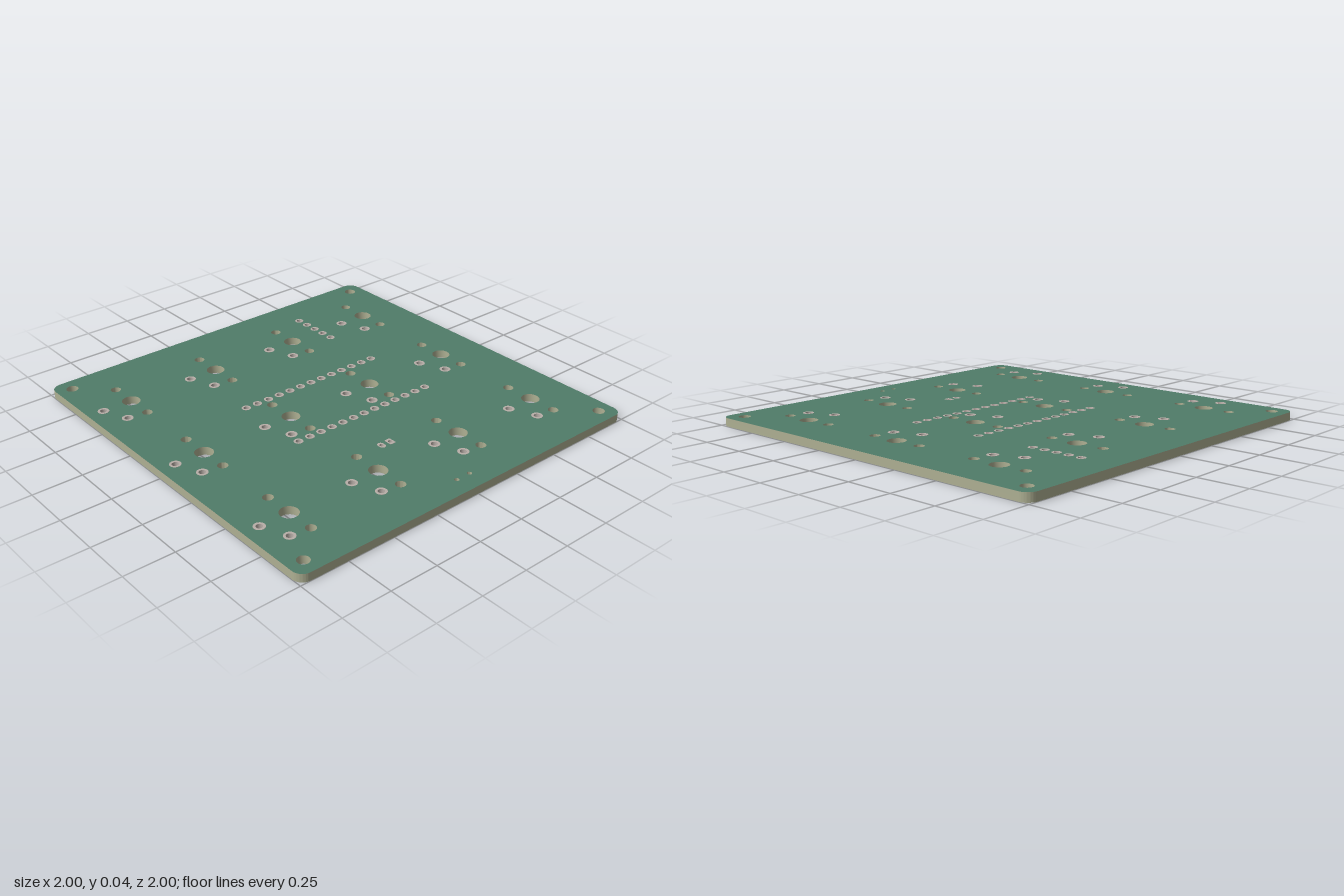
import * as THREE from 'three';
import { mergeGeometries, toCreasedNormals } from 'three/addons/utils/BufferGeometryUtils.js';

const H = 0.043;      // overall thickness
const E = 0.0006;     // pad height above the board surface
const SEG = 8;        // curve segments per quarter turn

// Rounded rectangle centred on (x, z)
function roundedRect(x, z, w, d, r) {
  const s = new THREE.Shape();
  const a = w / 2 - r, b = d / 2 - r;
  s.absarc(x + a, z + b, r, 0, Math.PI / 2, false);
  s.absarc(x - a, z + b, r, Math.PI / 2, Math.PI, false);
  s.absarc(x - a, z - b, r, Math.PI, Math.PI * 1.5, false);
  s.absarc(x + a, z - b, r, Math.PI * 1.5, Math.PI * 2, false);
  s.closePath();
  return s;
}

function circleHole(x, z, r) {
  const p = new THREE.Path();
  p.absarc(x, z, r, 0, Math.PI * 2, true);
  return p;
}

// Lay a shape flat (shape y becomes z), its top face at the given height
function slab(shape, top, depth, curveSegments = SEG) {
  const g = new THREE.ExtrudeGeometry(shape, { depth, bevelEnabled: false, curveSegments });
  g.rotateX(Math.PI / 2).translate(0, top, 0);
  return toCreasedNormals(g, 0.6);
}

export function createModel() {
  const group = new THREE.Group();
  group.name = 'circuitBoard';

  const mask = new THREE.MeshStandardMaterial({ color: 0x507c69 });
  const core = new THREE.MeshStandardMaterial({ color: 0xaeb093 });
  const metal = new THREE.MeshStandardMaterial({ color: 0xb8aea8 });
  const metalThin = new THREE.MeshStandardMaterial({ color: 0xb8aea8, side: THREE.DoubleSide });

  const bare = [];    // unplated holes: x, z, r
  const plated = [];  // plated holes: x, z, hole radius, pad width, pad depth, corner radius
  const round = (x, z, hole, r) => plated.push([x, z, hole, 2 * r, 2 * r, r * 0.999]);

  // Corner mounting holes
  for (const x of [-0.92, 0.92]) for (const z of [-0.92, 0.92]) bare.push([x, z, 0.03]);

  // Key switch footprints, four columns by three rows
  for (let c = 0; c < 4; c++) {
    for (let r = 0; r < 3; r++) {
      const x = (c - 1.5) * 0.506, z = (r - 1) * 0.625;
      bare.push([x, z, 0.0455], [x, z - 0.146, 0.0255], [x, z + 0.146, 0.0255]);
      round(x - 0.157, z, 0.0165, 0.028);
      round(x - 0.102, z + 0.133, 0.0165, 0.028);
    }
  }

  // Controller pin rows and the five-pin display header
  for (let i = 0; i < 13; i++) {
    for (const z of [-0.203, 0.203]) round(-0.369 + i * 0.0677, z, 0.0135, 0.0228);
  }
  for (let i = 0; i < 5; i++) round(0.443, -0.802 + i * 0.0677, 0.0135, 0.0228);

  // Battery connector: one oval pad, one squarer pad
  plated.push([-0.099, 0.478, 0.0105, 0.033, 0.046, 0.0164]);
  plated.push([-0.046, 0.478, 0.0105, 0.033, 0.046, 0.007]);

  // Power switch locating holes
  for (const x of [-0.04, 0.04]) bare.push([x, 0.904, 0.012]);

  // Board: green faces, bare laminate edges and hole walls
  const outline = roundedRect(0, 0, 2, 2, 0.053);
  for (const [x, z, r] of bare) outline.holes.push(circleHole(x, z, r));
  for (const [x, z, r] of plated) outline.holes.push(circleHole(x, z, r + 0.001));
  const board = new THREE.Mesh(slab(outline, H - E, H - 2 * E, 12), [mask, core]);
  board.name = 'board';
  group.add(board);

  // Plated holes: a ring on each face joined by a barrel
  const rings = [], barrels = [];
  for (const [x, z, hole, w, d, r] of plated) {
    const s = roundedRect(x, z, w, d, r);
    s.holes.push(circleHole(x, z, hole));
    rings.push(slab(s, H, E), slab(s, E, E));
    const b = new THREE.CylinderGeometry(hole, hole, H, SEG * 3, 1, true);
    barrels.push(b.translate(x, H / 2, z));
  }
  const ringMesh = new THREE.Mesh(mergeGeometries(rings), metal);
  ringMesh.name = 'padRings';
  const barrelMesh = new THREE.Mesh(mergeGeometries(barrels), metalThin);
  barrelMesh.name = 'holeBarrels';
  group.add(ringMesh, barrelMesh);

  // Surface pads on the underside: power switch, then side reset button
  const pads = [];
  const pad = (x, z, w, d) => pads.push(slab(roundedRect(x, z, w, d, 0.003), E, E, 3));
  for (const x of [-0.06, -0.02, 0.06]) pad(x, 0.857, 0.019, 0.04);
  for (const x of [-0.097, 0.097]) for (const z of [0.857, 0.916]) pad(x, z, 0.027, 0.021);
  for (const x of [-0.965, -0.92]) for (const z of [0.36, 0.47]) pad(x, z, 0.022, 0.026);
  const padMesh = new THREE.Mesh(mergeGeometries(pads), metal);
  padMesh.name = 'undersidePads';
  group.add(padMesh);

  return group;
}
